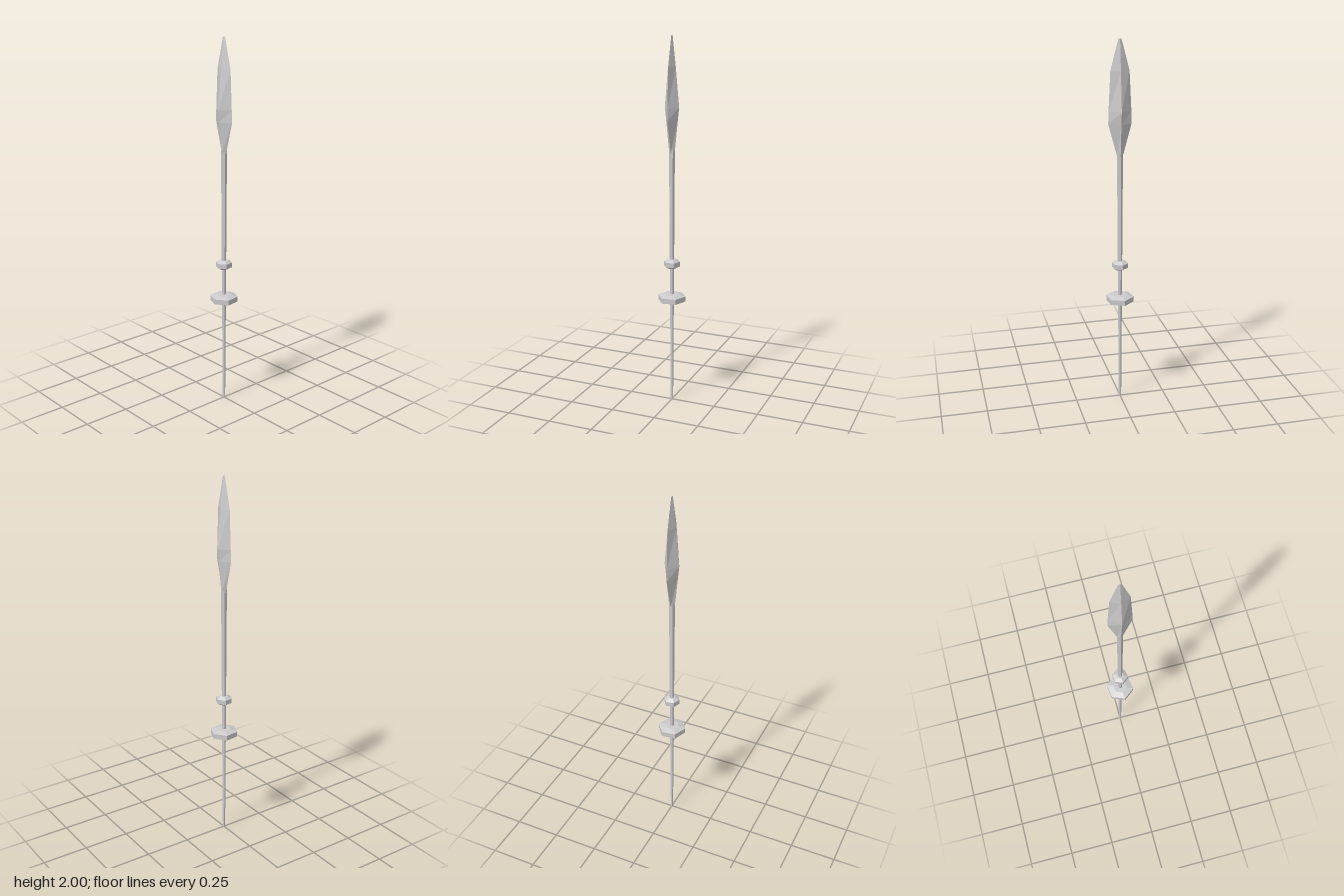
import * as THREE from 'three';

const material = new THREE.MeshStandardMaterial({ color: 0xcccccc, flatShading: true });

function addPart(group, name, geometry) {
  const flat = geometry.toNonIndexed();
  flat.computeVertexNormals();
  const mesh = new THREE.Mesh(flat, material);
  mesh.name = name;
  group.add(mesh);
  return mesh;
}

// Six-sided ring with bevelled upper and lower edges
function addCollar(group, name, y, radius, inner, halfBand, halfHeight) {
  const profile = [
    [0, -halfHeight], [inner, -halfHeight], [radius, -halfBand],
    [radius, halfBand], [inner, halfHeight], [0, halfHeight],
  ].map(([r, h]) => new THREE.Vector2(r, h));
  const mesh = addPart(group, name, new THREE.LatheGeometry(profile, 6, THREE.MathUtils.degToRad(38)));
  mesh.position.y = y;
}

// Diamond-section blade; each ring is [height, half width in x, half width in z]
function bladeGeometry() {
  const rings = [
    [1.4, 0.016, 0.016], [1.57, 0.033, 0.062], [1.635, 0.04, 0.06],
    [1.84, 0.0215, 0.05], [2.0, 0.003, 0.008],
  ];
  const last = rings.length - 1;
  const geometry = new THREE.CylinderGeometry(1, 1, last, 4, last);
  const p = geometry.attributes.position;
  for (let i = 0; i < p.count; i++) {
    const [y, halfX, halfZ] = rings[Math.round(p.getY(i) + last / 2)];
    p.setXYZ(i, p.getX(i) * halfX, y, p.getZ(i) * halfZ);
  }
  return geometry;
}

export function createModel() {
  const group = new THREE.Group();
  group.name = 'spear';

  // Slender shaft, thicker towards the blade
  const shaft = addPart(group, 'shaft', new THREE.CylinderGeometry(0.016, 0.007, 1.42, 6));
  shaft.position.y = 0.71;
  shaft.rotation.y = THREE.MathUtils.degToRad(38);

  // Hand guard and the smaller ring above it
  addCollar(group, 'lowerCollar', 0.598, 0.076, 0.04, 0.014, 0.024);
  addCollar(group, 'upperCollar', 0.793, 0.044, 0.022, 0.013, 0.025);

  addPart(group, 'blade', bladeGeometry());
  return group;
}
